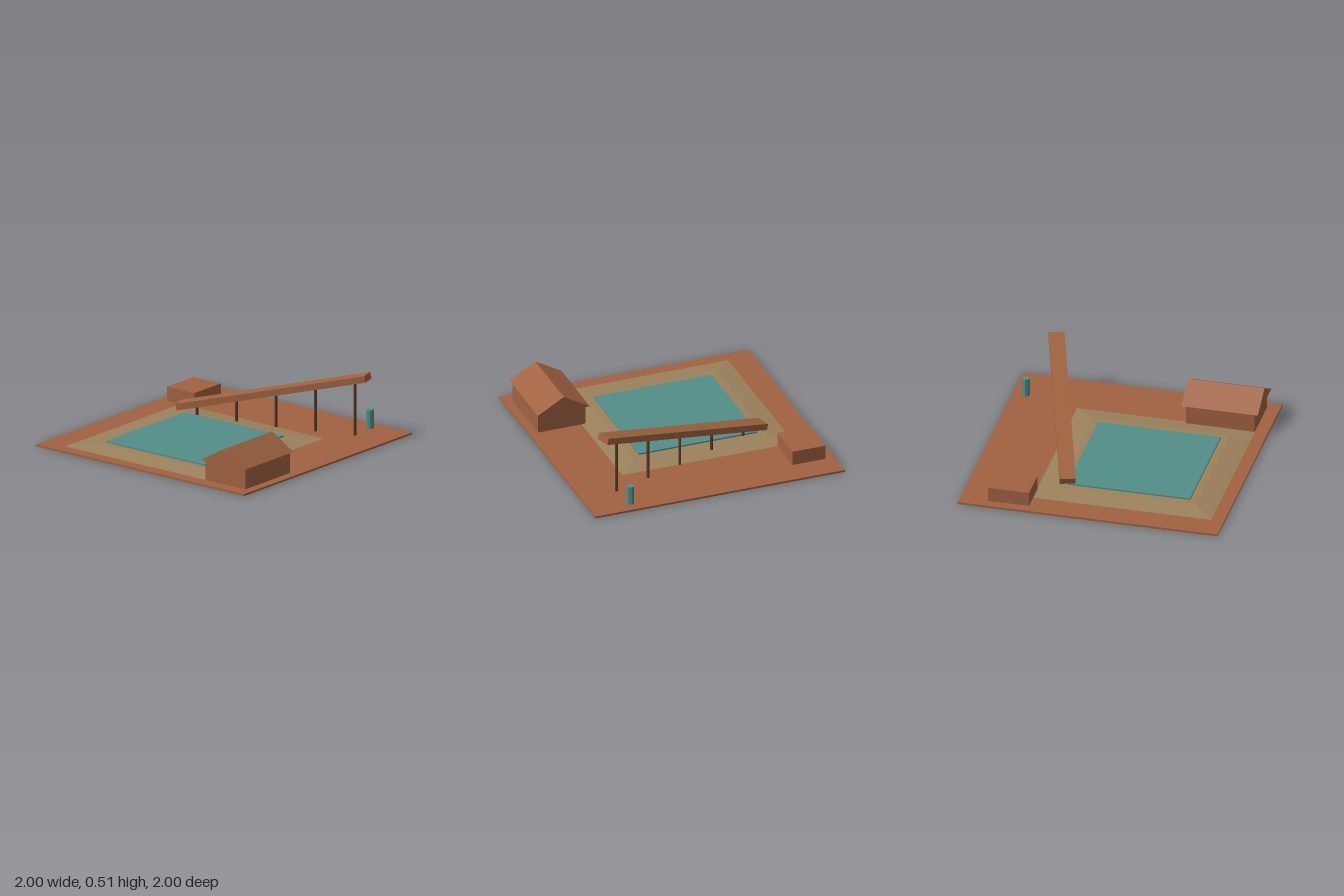
import * as THREE from 'three';

const mat = (name, color) => {
  const m = new THREE.MeshStandardMaterial({ color, flatShading: true });
  m.name = name;
  return m;
};

export function createModel() {
  const group = new THREE.Group();
  const clay = mat('clay', 0xa06240);
  const sand = mat('sand', 0x9c825d);
  const teal = mat('teal', 0x528e8a);
  const timber = mat('dark timber', 0x5a3d25);
  const G = 0.015; // ground level

  const add = (name, geometry, material, x, y, z) => {
    const m = new THREE.Mesh(geometry, material);
    m.name = name;
    m.position.set(x, y, z);
    group.add(m);
    return m;
  };
  // box given by its extents
  const block = (name, material, x0, x1, y0, y1, z0, z1) =>
    add(name, new THREE.BoxGeometry(x1 - x0, y1 - y0, z1 - z0), material,
      (x0 + x1) / 2, (y0 + y1) / 2, (z0 + z1) / 2);

  block('ground', clay, -1, 1, 0, G, -1, 1);

  // sloped bank: a low box whose top is drawn inwards
  const bank = new THREE.BoxGeometry(1.375, 0.021, 1.38);
  const p = bank.attributes.position;
  for (let i = 0; i < p.count; i++) {
    if (p.getY(i) > 0) p.setXYZ(i, p.getX(i) * 0.765, p.getY(i), p.getZ(i) * 0.765);
  }
  bank.computeVertexNormals();
  add('bank', bank, sand, -0.214, G + 0.0105, -0.108);

  block('water', teal, -0.685, 0.26, G, 0.047, -0.582, 0.365);

  // house with gabled roof, ridge along x
  block('houseWalls', clay, -0.9, -0.37, G, 0.175, 0.55, 0.93);
  const gable = new THREE.Shape([
    new THREE.Vector2(-0.208, 0), new THREE.Vector2(0.208, 0), new THREE.Vector2(0, 0.12),
  ]);
  const roof = new THREE.ExtrudeGeometry(gable, { depth: 0.59, bevelEnabled: false });
  add('houseRoof', roof, clay, -0.93, 0.175, 0.735).rotation.y = Math.PI / 2;

  block('shed', clay, 0.47, 0.785, G, 0.127, -0.925, -0.663);

  add('barrel', new THREE.CylinderGeometry(0.03, 0.03, 0.145, 8), teal, 0.893, G + 0.0725, 0.68);

  // inclined conveyor, rising towards the front
  const ramp = add('ramp', new THREE.BoxGeometry(0.12, 0.05, 1.57), clay, 0.47, 0.29, 0.095);
  ramp.rotation.set(-0.252, 0.3, 0, 'YXZ');

  // posts under the ramp
  for (let k = -2; k <= 2; k++) {
    const h = 0.28 + 0.0804 * k - G;
    add('post', new THREE.CylinderGeometry(0.012, 0.012, h, 8), timber,
      0.47 + 0.1055 * k, G + h / 2, 0.12 + 0.294 * k);
  }
  return group;
}
